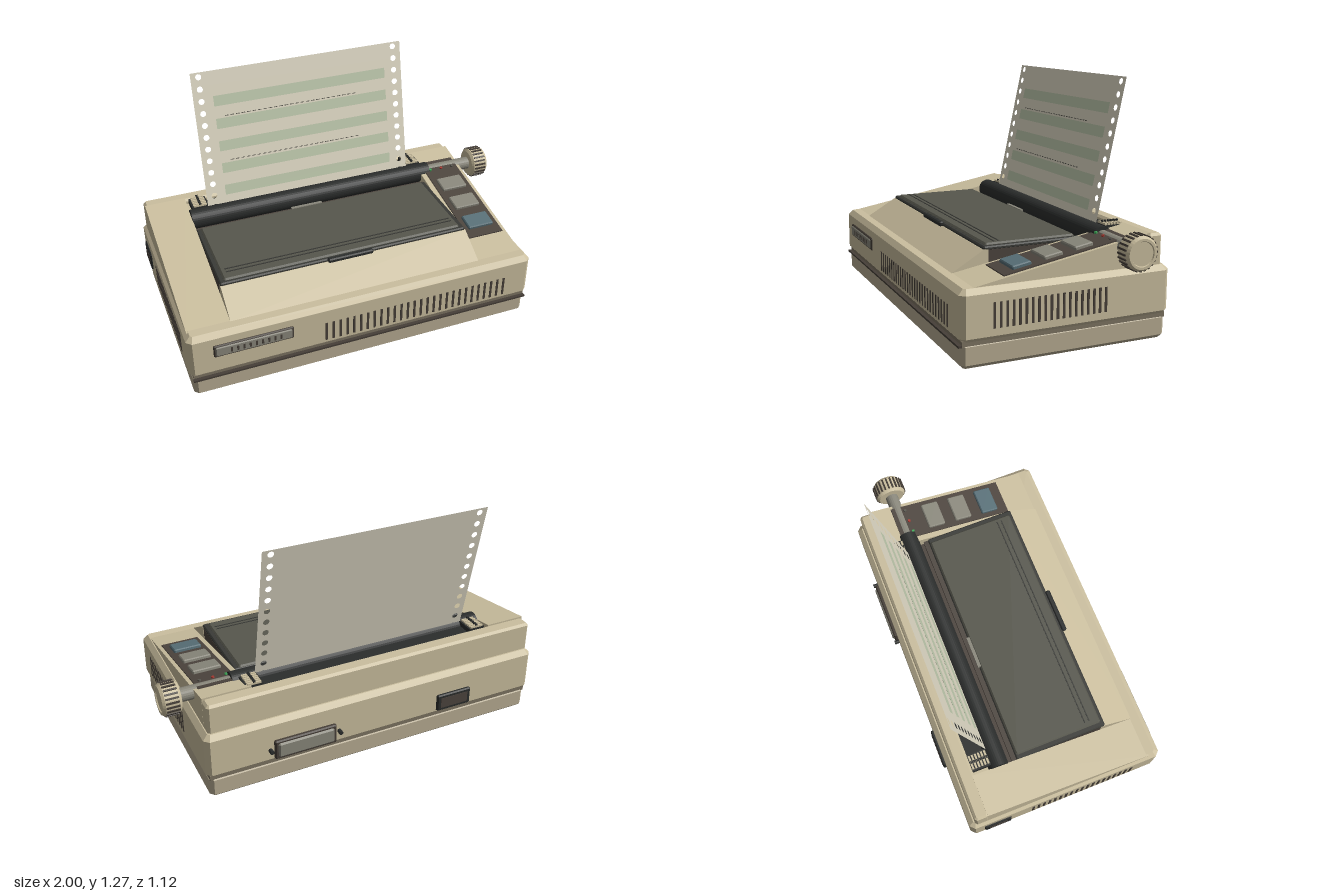
import * as THREE from 'three';

const mat = (color, side = THREE.FrontSide) =>
  new THREE.MeshStandardMaterial({ color, side, flatShading: true });
const M = {
  shell: mat(0xcbbf9f), base: mat(0xb8ad93), seam: mat(0x7d7462), brown: mat(0x4d453e),
  slot: mat(0x463f38), lid: mat(0x57574d), lidEdge: mat(0x3a3b37), black: mat(0x2b2d2c),
  grey: mat(0x8a887c), blue: mat(0x587078), paper: mat(0xe2dcc8, THREE.DoubleSide),
  stripe: mat(0xc2ccb0), ink: mat(0x5a5850), green: mat(0x3fae5a), red: mat(0xa83c34),
};

export function createModel() {
  const root = new THREE.Group();
  root.name = 'dotMatrixPrinter';

  const add = (name, geo, material, parent = root) => {
    const mesh = new THREE.Mesh(geo, material);
    mesh.name = name;
    parent.add(mesh);
    return mesh;
  };

  // Plain box given by its limits
  const box = (name, m, [x0, x1], [y0, y1], [z0, z1], parent = root) => {
    const geo = new THREE.BoxGeometry(x1 - x0, y1 - y0, z1 - z0);
    geo.translate((x0 + x1) / 2, (y0 + y1) / 2, (z0 + z1) / 2);
    return add(name, geo, m, parent);
  };

  // Box with every edge chamfered by c
  const chamferBox = (name, m, [x0, x1], [y0, y1], [z0, z1], c, parent = root) => {
    const w = (x1 - x0) / 2, d = (z1 - z0) / 2;
    const pts = [[w, d - c], [w - c, d], [c - w, d], [-w, d - c],
      [-w, c - d], [c - w, -d], [w - c, -d], [w, c - d]];
    const geo = new THREE.ExtrudeGeometry(new THREE.Shape(pts.map(p => new THREE.Vector2(...p))), {
      depth: y1 - y0 - 2 * c, bevelThickness: c, bevelSize: c, bevelOffset: -c, bevelSegments: 1,
    });
    geo.rotateX(-Math.PI / 2).translate((x0 + x1) / 2, y0 + c, (z0 + z1) / 2);
    return add(name, geo, m, parent);
  };

  // Side profile of [z, y] points swept from x0 to x1
  const prism = (name, m, pts, x0, x1) => {
    const shape = new THREE.Shape(pts.map(([z, y]) => new THREE.Vector2(-z, y)));
    const geo = new THREE.ExtrudeGeometry(shape, { depth: x1 - x0, bevelEnabled: false });
    geo.rotateY(Math.PI / 2).translate(x0, 0, 0);
    return add(name, geo, m);
  };

  const cylinderX = (name, m, r, x0, x1, y, z, sides = 32, parent = root) => {
    const geo = new THREE.CylinderGeometry(r, r, x1 - x0, sides);
    geo.rotateZ(Math.PI / 2).translate((x0 + x1) / 2, y, z);
    return add(name, geo, m, parent);
  };

  // Case: base tray, seam and upper shell
  chamferBox('baseTray', M.base, [-0.975, 0.845], [0.04, 0.165], [-0.52, 0.535], 0.02);
  box('seam', M.seam, [-0.972, 0.842], [0.145, 0.172], [-0.515, 0.53]);
  chamferBox('upperShell', M.shell, [-0.99, 0.86], [0.16, 0.407], [-0.53, 0.542], 0.025);
  box('frontTrim', M.slot, [-0.975, 0.845], [0.146, 0.156], [0.53, 0.548]);
  for (const x of [-0.817, 0.683])
    for (const z of [-0.383, 0.403])
      chamferBox('foot', M.black, [x - 0.058, x + 0.058], [0, 0.048], [z - 0.062, z + 0.062], 0.012);

  // Sloping side cheeks, front slope and rear wall
  const cheek = [[0.48, 0.4], [0.48, 0.405], [-0.43, 0.565], [-0.43, 0.4]];
  prism('leftmostCheek', M.shell, cheek, -0.975, -0.758);
  prism('controlCheek', M.shell, cheek, 0.58, 0.83);
  prism('frontSlope', M.shell, [[0.475, 0.4], [0.475, 0.406], [0.315, 0.5], [0.29, 0.5], [0.29, 0.4]], -0.758, 0.58);
  chamferBox('rearWall', M.shell, [-0.975, 0.83], [0.39, 0.558], [-0.498, -0.42], 0.012);
  box('rearDeck', M.shell, [-0.76, 0.582], [0.4, 0.53], [-0.43, -0.34]);
  box('paperSlot', M.black, [-0.67, 0.535], [0.52, 0.535], [-0.42, -0.33]);
  box('platenBay', M.brown, [-0.758, 0.58], [0.4, 0.47], [-0.345, -0.2]);
  box('lidBase', M.brown, [-0.757, 0.578], [0.4, 0.498], [-0.21, 0.305]);

  // Smoked lid with frame, ribs, handle and hinge
  chamferBox('lidFrame', M.lidEdge, [-0.758, 0.578], [0.494, 0.514], [-0.185, 0.312], 0.006);
  chamferBox('lidPanel', M.lid, [-0.735, 0.553], [0.5, 0.523], [-0.18, 0.295], 0.008);
  for (const z of [0.215, 0.24]) box('lidRib', M.lidEdge, [-0.71, 0.53], [0.52, 0.5255], [z - 0.003, z + 0.003]);
  chamferBox('lidHandle', M.black, [-0.2, 0.045], [0.498, 0.522], [0.305, 0.332], 0.006);
  box('lidHinge', M.grey, [-0.225, -0.05], [0.505, 0.525], [-0.192, -0.175]);

  // Platen roller, shaft and ribbed knob
  const axisY = 0.515, axisZ = -0.285;
  cylinderX('platen', M.black, 0.053, -0.76, 0.637, axisY, axisZ);
  cylinderX('platenShaft', M.grey, 0.035, 0.637, 0.91, axisY, axisZ, 20);
  const knob = new THREE.Group();
  knob.name = 'platenKnob';
  knob.position.set(0.9, axisY, axisZ);
  root.add(knob);
  const rim = [[0, 0], [0.07, 0], [0.082, 0.012], [0.082, 0.083], [0.072, 0.096], [0.06, 0.096], [0.057, 0.09], [0, 0.09]];
  add('knobBody', new THREE.LatheGeometry(rim.map(p => new THREE.Vector2(...p)), 32).rotateZ(-Math.PI / 2), M.shell, knob);
  for (let i = 0; i < 24; i++) {
    const geo = new THREE.BoxGeometry(0.066, 0.008, 0.009);
    geo.translate(0.048, 0.083, 0).rotateX(i * Math.PI / 12);
    add('knobRib', geo, M.slot, knob);
  }

  // Paper tractors with ribs and pins
  for (const x of [-0.695, 0.56]) {
    box('tractor', M.black, [x - 0.045, x + 0.045], [0.52, 0.56], [-0.42, -0.32]);
    for (let i = 0; i < 6; i++) {
      const z = -0.412 + i * 0.0165;
      box('tractorRib', M.shell, [x - 0.036, x + 0.036], [0.555, 0.57], [z - 0.005, z + 0.005]);
      box('tractorPin', M.black, [x - 0.006, x + 0.006], [0.56, 0.579], [z - 0.004, z + 0.004]);
    }
  }

  // Control panel lying on the cheek slope
  const panel = new THREE.Group();
  panel.name = 'controlPanel';
  panel.position.set(0, 0.4895, 0);
  panel.rotation.x = Math.atan(0.176);
  root.add(panel);
  box('panelPlate', M.brown, [0.61, 0.81], [-0.005, 0.006], [-0.325, 0.32], panel);
  for (const [z0, z1, m] of [[-0.157, -0.06, M.grey], [0.003, 0.1, M.grey], [0.165, 0.262, M.blue]])
    chamferBox('panelButton', m, [0.635, 0.782], [0, 0.023], [z0, z1], 0.005, panel);
  [M.green, M.red, M.ink].forEach((m, i) => {
    const x = 0.643 + i * 0.068;
    const lamp = new THREE.CylinderGeometry(0.008, 0.008, 0.012, 12);
    lamp.translate(x, 0.008, -0.25);
    add('indicatorLamp', lamp, m, panel);
  });

  // Ventilation slots
  for (let i = 0; i < 28; i++) {
    const x = -0.293 + i * 0.0369;
    box('frontVent', M.slot, [x - 0.006, x + 0.006], [0.2, 0.307], [0.53, 0.545]);
  }
  for (let i = 0; i < 19; i++) {
    const z = -0.179 + i * 0.0312;
    for (const x of [-0.986, 0.856])
      box('sideVent', M.slot, [x - 0.007, x + 0.007], [0.22, 0.34], [z - 0.006, z + 0.006]);
  }

  // Front badge with plain bars
  chamferBox('badgeFrame', M.slot, [-0.867, -0.465], [0.272, 0.342], [0.535, 0.551], 0.005);
  chamferBox('badgePlate', M.grey, [-0.858, -0.474], [0.28, 0.334], [0.535, 0.556], 0.005);
  for (let i = 0; i < 9; i++) {
    const x = -0.78 + i * 0.031;
    box('badgeBar', M.slot, [x - 0.005, x + 0.005], [0.294, 0.32], [0.55, 0.558]);
  }

  // Power switch, rear connector and mains inlet
  chamferBox('powerSwitch', M.black, [-0.999, -0.98], [0.225, 0.325], [-0.455, -0.305], 0.006);
  box('switchRocker', M.brown, [-1, -0.98], [0.245, 0.305], [-0.43, -0.33]);
  chamferBox('connectorFrame', M.slot, [0.185, 0.515], [0.185, 0.292], [-0.548, -0.52], 0.006);
  chamferBox('connector', M.grey, [0.2, 0.5], [0.198, 0.279], [-0.557, -0.52], 0.008);
  for (const x of [0.165, 0.535]) {
    const screw = new THREE.CylinderGeometry(0.011, 0.011, 0.03, 10);
    screw.rotateX(Math.PI / 2).translate(x, 0.24, -0.541);
    add('connectorScrew', screw, M.black);
  }
  chamferBox('mainsInlet', M.black, [-0.6, -0.4], [0.19, 0.285], [-0.545, -0.52], 0.006);
  box('inletSocket', M.brown, [-0.58, -0.42], [0.208, 0.267], [-0.547, -0.52]);

  // Tractor-feed paper leaning back, with punched edges and printed bands
  const sheet = new THREE.Group();
  sheet.name = 'paper';
  sheet.position.set(0, 0.52, -0.31);
  sheet.rotation.x = -Math.atan(0.215);
  root.add(sheet);
  const up = y => (y - 0.52) * 1.023;
  const outline = new THREE.Shape();
  outline.moveTo(-0.655, 0).lineTo(0.52, 0).lineTo(0.52, up(1.272)).lineTo(-0.655, up(1.272)).closePath();
  for (const x of [-0.613, 0.477])
    for (let i = 0; i < 12; i++)
      outline.holes.push(new THREE.Path().absarc(x, up(1.248 - i * 0.064), 0.016, 0, Math.PI * 2, true));
  add('paperSheet', new THREE.ShapeGeometry(outline, 8), M.paper, sheet);
  const print = (name, m, x0, x1, y0, y1, z) => {
    const geo = new THREE.PlaneGeometry(x1 - x0, up(y1) - up(y0));
    geo.translate((x0 + x1) / 2, (up(y0) + up(y1)) / 2, z);
    add(name, geo, m, sheet);
  };
  for (let i = 0; i < 5; i++) print('paperBand', M.stripe, -0.55, 0.42, 1.085 - i * 0.121, 1.14 - i * 0.121, 0.002);
  for (const y of [1.03, 0.79])
    for (let x = -0.5; x < 0.23; x += 0.03) print('ruleDash', M.ink, x, x + 0.02, y - 0.002, y + 0.002, 0.004);

  return root;
}
